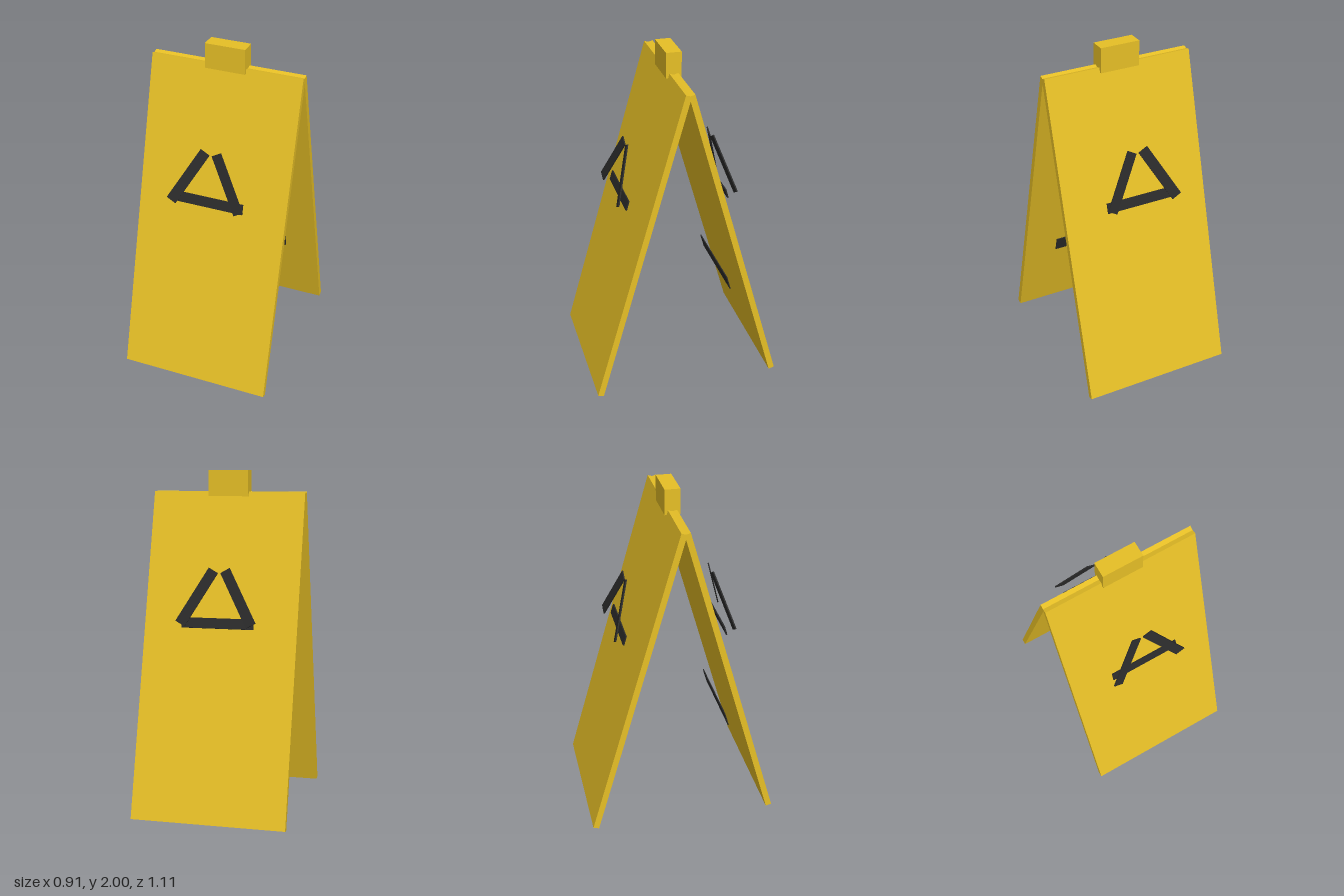
import * as THREE from 'three';

const TILT = 0.277;
const yellow = new THREE.MeshStandardMaterial({ color: 0xe6bf26 });
const black = new THREE.MeshStandardMaterial({ color: 0x2b2b2b });

function box(name, size, position, material, tilt = 0, roll = 0) {
  const mesh = new THREE.Mesh(new THREE.BoxGeometry(...size), material);
  mesh.name = name;
  mesh.position.set(...position);
  // lean back first, then roll in the upright plane
  mesh.rotation.set(-tilt, 0, roll, 'ZYX');
  return mesh;
}

// One leaning side of the sign with its markings
function createSide(name) {
  const side = new THREE.Group();
  side.name = name;
  side.add(box('panel', [0.908, 1.939, 0.035], [0, 0.94, 0.274], yellow, TILT));

  // Warning triangle made of three floating bars
  const triangle = new THREE.Group();
  triangle.name = 'warningTriangle';
  triangle.add(box('triangleBase', [0.424, 0.06, 0.008], [0, 1.133, 0.299], black, TILT));
  for (const s of [-1, 1]) {
    triangle.add(box(s < 0 ? 'triangleRightBar' : 'triangleLeftBar',
      [0.062, 0.36, 0.008], [s * 0.121, 1.284, 0.306], black, TILT, s * Math.PI / 6));
  }
  side.add(triangle);

  // Dark strip behind the panel
  side.add(box('innerStrip', [0.545, 0.09, 0.006], [0, 0.553, 0.305], black, TILT));
  return side;
}

export function createModel() {
  const sign = new THREE.Group();
  sign.name = 'foldingFloorSign';

  const front = createSide('frontSide');
  const back = createSide('backSide');
  back.rotation.y = Math.PI;

  // Grip block over the hinge
  const handle = box('handle', [0.24, 0.15, 0.09], [0, 1.925, 0], yellow);

  sign.add(front, back, handle);
  return sign;
}
